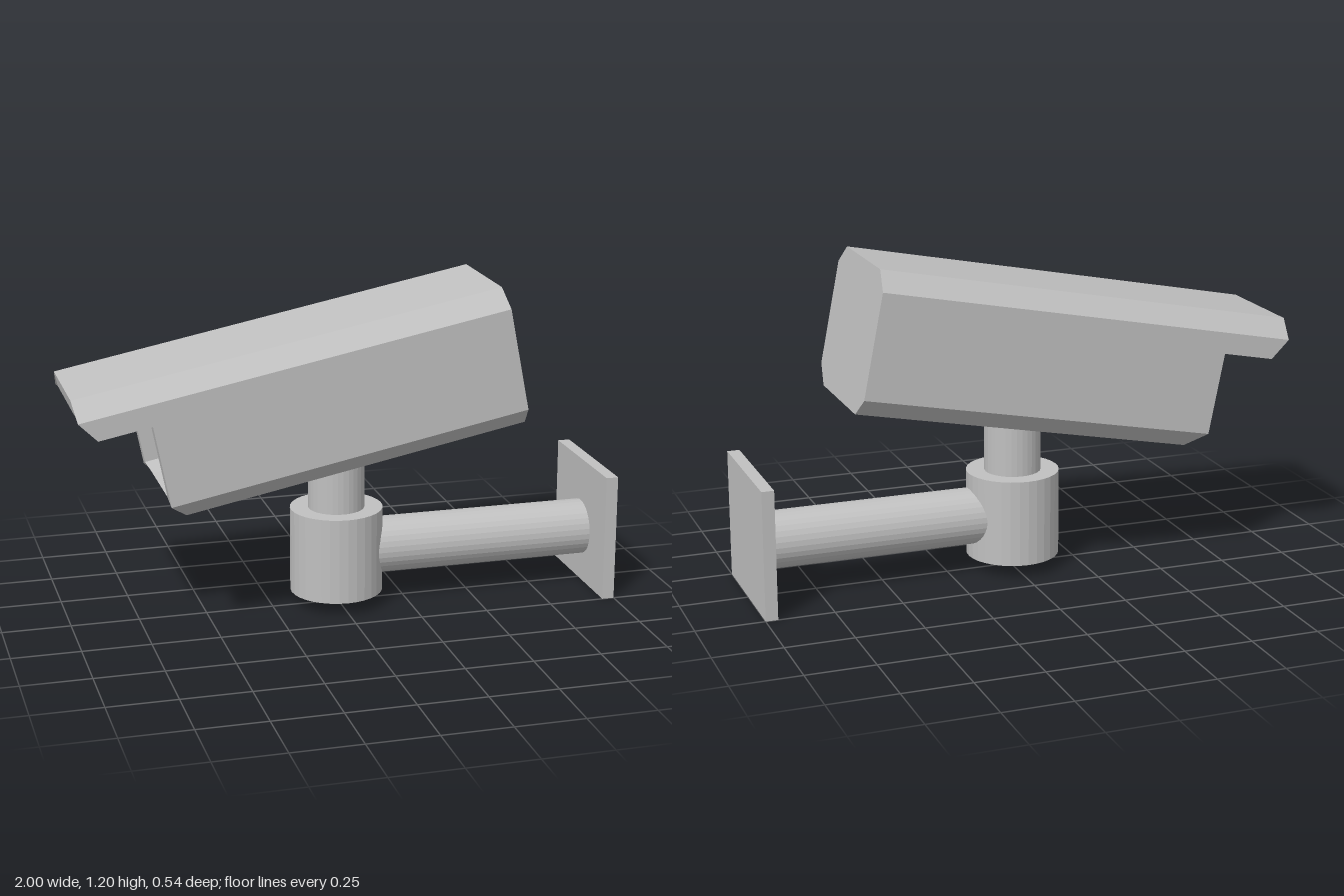
import * as THREE from 'three';

const grey = new THREE.MeshStandardMaterial({ color: 0xc0c0c0 });
grey.name = 'painted metal grey';

function addPart(parent, name, geometry) {
  const flat = geometry.index ? geometry.toNonIndexed() : geometry;
  flat.computeVertexNormals();
  const mesh = new THREE.Mesh(flat, grey);
  mesh.name = name;
  parent.add(mesh);
  return mesh;
}

// Mirror a half section (listed from the centre line outwards) into a closed shape.
function mirroredShape(half) {
  const other = half.map(([s, v]) => [-s, v]).reverse();
  return new THREE.Shape([...half, ...other].map(([s, v]) => new THREE.Vector2(s, v)));
}

// Extrude a section along the housing; frontCut shifts the front end depending on height.
function section(half, front, back, frontCut) {
  const geo = new THREE.ExtrudeGeometry(mirroredShape(half), { depth: back - front, bevelEnabled: false });
  const p = geo.attributes.position;
  for (let i = 0; i < p.count; i++) {
    const atFront = p.getZ(i) < 1e-6;
    const cut = atFront && frontCut ? frontCut(p.getY(i)) : 0;
    p.setZ(i, p.getZ(i) + front + cut);
  }
  return geo.rotateY(Math.PI / 2);
}

export function createModel() {
  const model = new THREE.Group();
  model.name = 'securityCamera';

  // Tilted housing: origin at the front top edge, x runs to the back end
  const housing = new THREE.Group();
  housing.name = 'housing';
  housing.position.set(-1, 0.9, 0);
  housing.rotation.z = 0.194;
  model.add(housing);

  const W = 0.27, F = 0.2, H = 0.515, C = 0.067, lip = 0.145, t = 0.05;
  addPart(housing, 'housingBody', section(
    [[F, -H], [W, -H + C], [W, -C], [F, 0]], 0.33, 1.578));

  // Hollow visor over the front, its side flaps cut back at the lower corner
  addPart(housing, 'visor', section(
    [[F - 0.02, -t], [W - t, -C - 0.02], [W - t, -lip], [W, -lip], [W, -C], [F, 0]],
    0, 0.33, v => Math.max(0, -v - C) * 0.68));

  // Rim around the recessed front, slanted at the bottom
  addPart(housing, 'frontRim', section(
    [[F, -H], [W, -H + C], [W, -lip], [W - t, -lip], [W - t, -H + C + 0.02], [F - 0.02, -H + t]],
    0.247, 0.33, v => Math.max(0, -v - H + C) * 0.79));

  // Stand: neck, swivel, arm and wall plate
  const neck = addPart(model, 'neck', new THREE.CylinderGeometry(0.104, 0.104, 0.3, 32));
  neck.position.set(-0.007, 0.5, 0);

  const swivel = addPart(model, 'swivelBase', new THREE.CylinderGeometry(0.171, 0.171, 0.32, 32));
  swivel.position.set(-0.007, 0.21, 0);

  const arm = addPart(model, 'arm', new THREE.CylinderGeometry(0.104, 0.104, 0.95, 32));
  arm.rotation.z = Math.PI / 2;
  arm.position.set(0.485, 0.207, 0);

  const plate = addPart(model, 'wallPlate', new THREE.BoxGeometry(0.045, 0.473, 0.5));
  plate.position.set(0.9775, 0.2365, 0);

  return model;
}
